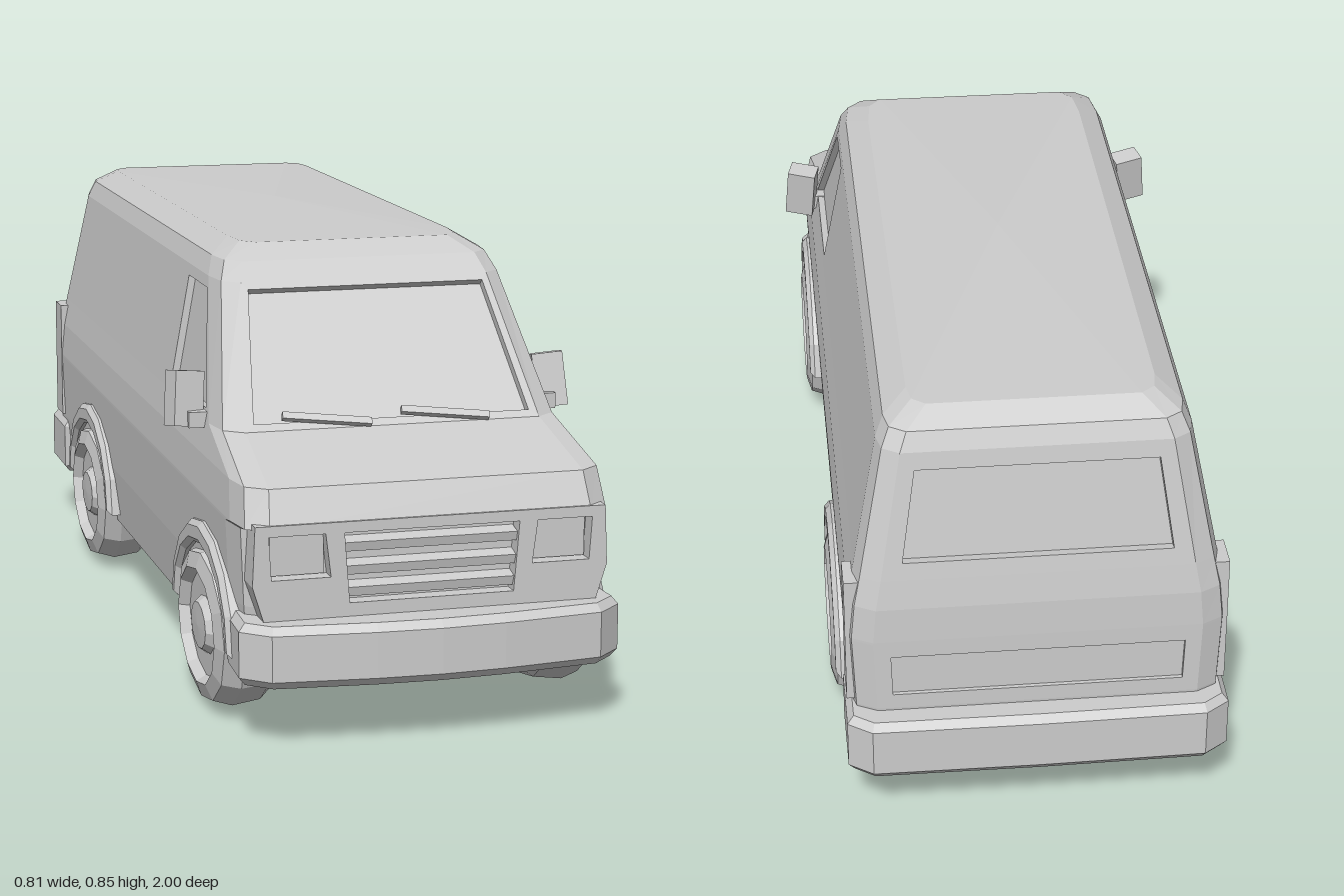
import * as THREE from 'three';

const paint = new THREE.MeshStandardMaterial({ color: 0xcccccc, flatShading: true, side: THREE.DoubleSide });
paint.name = 'plain grey';

function add(parent, name, geometry, x = 0, y = 0, z = 0) {
  const mesh = new THREE.Mesh(geometry, paint);
  mesh.name = name;
  mesh.position.set(x, y, z);
  parent.add(mesh);
  return mesh;
}

// Body shell: horizontal rings stacked upward; chosen cells are inset as windows
function bodyGeometry() {
  // y, half width, front z, back z
  const levels = [
    [0.13, 0.335, 0.89, -0.94], [0.25, 0.346, 0.9, -0.95], [0.395, 0.352, 0.9, -0.95],
    [0.4, 0.352, 0.932, -0.95], [0.47, 0.345, 0.9, -0.948], [0.528, 0.333, 0.69, -0.94],
    [0.775, 0.285, 0.49, -0.9], [0.81, 0.27, 0.455, -0.885], [0.838, 0.225, 0.4, -0.84],
  ];
  const rings = levels.map(([y, w, f, b]) => {
    const half = [[0.86 * w, f], [0.97 * w, f - 0.03], [w, f - 0.1], [w, 0.23],
      [w, -0.7], [w, b + 0.06], [0.97 * w, b + 0.02], [0.86 * w, b]];
    const mirror = half.map(([x, z]) => [-x, z]).reverse();
    return [...half, ...mirror].map(([x, z]) => new THREE.Vector3(x, y, z));
  });
  const insets = {
    '5,15': [0.016, 0.016], // windscreen
    '5,2': [0.022, 0.014], '5,12': [0.022, 0.014], // door windows
    '5,7': [0.035, 0.02], // rear window
    '1,7': [0.03, 0.008], // rear door panel
  };
  const out = [];
  const tri = (...ps) => ps.forEach((p) => out.push(p.x, p.y, p.z));
  const quad = (a, b, c, d) => { tri(a, b, c); tri(a, c, d); };
  const n = rings[0].length;
  for (let k = 0; k < rings.length - 1; k++) {
    for (let i = 0; i < n; i++) {
      const j = (i + 1) % n;
      const q = [rings[k][i], rings[k][j], rings[k + 1][j], rings[k + 1][i]];
      const inset = insets[`${k},${i}`];
      if (!inset) { quad(...q); continue; }
      const [margin, depth] = inset;
      const u = margin / q[0].distanceTo(q[1]), v = margin / q[0].distanceTo(q[3]);
      const at = (s, t) => q[0].clone().lerp(q[1], s).lerp(q[3].clone().lerp(q[2], s), t);
      const edge = [at(u, v), at(1 - u, v), at(1 - u, 1 - v), at(u, 1 - v)];
      const normal = q[1].clone().sub(q[0]).cross(q[3].clone().sub(q[0])).normalize();
      const deep = edge.map((p) => p.clone().addScaledVector(normal, -depth));
      for (let e = 0; e < 4; e++) {
        const g = (e + 1) % 4;
        quad(q[e], q[g], edge[g], edge[e]);
        quad(edge[e], edge[g], deep[g], deep[e]);
      }
      quad(...deep);
    }
  }
  // Crowned roof and flat floor
  const top = rings[rings.length - 1], floor = rings[0];
  const crown = new THREE.Vector3(0, 0.846, -0.2), under = new THREE.Vector3(0, 0.13, 0);
  for (let i = 0; i < n; i++) {
    const j = (i + 1) % n;
    tri(crown, top[i], top[j]);
    tri(under, floor[j], floor[i]);
  }
  const geo = new THREE.BufferGeometry();
  geo.setAttribute('position', new THREE.Float32BufferAttribute(out, 3));
  geo.computeVertexNormals();
  return geo;
}

function polygon(points, Type = THREE.Shape) {
  return new Type(points.map(([x, y]) => new THREE.Vector2(x, y)));
}

// Front panel with openings for the grille and headlights
function fasciaGeometry() {
  const shape = polygon([[-0.31, 0.22], [0.31, 0.22], [0.335, 0.3], [0.33, 0.41], [-0.33, 0.41], [-0.335, 0.3]]);
  shape.holes.push(polygon([[-0.155, 0.26], [-0.165, 0.39], [0.165, 0.39], [0.155, 0.26]], THREE.Path));
  for (const s of [-1, 1]) {
    shape.holes.push(polygon([[s * 0.19, 0.31], [s * 0.2, 0.39], [s * 0.305, 0.39], [s * 0.3, 0.31]], THREE.Path));
  }
  return new THREE.ExtrudeGeometry(shape, { depth: 0.06, bevelEnabled: false });
}

// Bumper: plan outline (x, z) extruded upward
function bumperGeometry(half, height) {
  const outline = [...half, ...half.map(([x, z]) => [-x, z]).reverse()].map(([x, z]) => [x, -z]);
  const geo = new THREE.ExtrudeGeometry(polygon(outline), {
    depth: height - 0.03, bevelEnabled: true, bevelThickness: 0.015, bevelSize: 0.012, bevelOffset: -0.012, bevelSegments: 1,
  });
  return geo.rotateX(-Math.PI / 2).translate(0, 0.015, 0);
}

// Wheel arch lip, a half ring extruded sideways
function archGeometry() {
  const points = [];
  const steps = 8;
  for (let i = 0; i <= steps; i++) {
    const a = Math.PI * i / steps;
    points.push([0.238 * Math.cos(a), 0.2 * Math.sin(a)]);
  }
  for (let i = steps; i >= 0; i--) {
    const a = Math.PI * i / steps;
    points.push([0.205 * Math.cos(a), 0.155 * Math.sin(a)]);
  }
  const geo = new THREE.ExtrudeGeometry(polygon(points), {
    depth: 0.04, bevelEnabled: true, bevelThickness: 0.01, bevelSize: 0.01, bevelOffset: -0.01, bevelSegments: 1,
  });
  return geo.rotateY(Math.PI / 2);
}

// Low-poly wheel, turned about the x axis; the outside faces +x
function wheelGeometry() {
  const profile = [[0, -0.06], [0.16, -0.065], [0.195, -0.035], [0.205, 0.02], [0.19, 0.055],
    [0.15, 0.065], [0.135, 0.045], [0.075, 0.045], [0.06, 0.06], [0, 0.062]];
  const geo = new THREE.LatheGeometry(profile.map(([r, h]) => new THREE.Vector2(r, h)), 12);
  return geo.rotateZ(-Math.PI / 2).scale(1, 0.15 / 0.205, 1);
}

export function createModel() {
  const van = new THREE.Group();
  van.name = 'van';
  add(van, 'body', bodyGeometry());
  add(van, 'frontFascia', fasciaGeometry(), 0, 0, 0.872);

  // Grille slats
  for (const y of [0.282, 0.322, 0.365]) {
    add(van, 'grilleSlat', new THREE.BoxGeometry(0.325, 0.018, 0.03), 0, y, 0.91).rotation.x = 0.25;
  }

  // Bumpers
  add(van, 'frontBumper', bumperGeometry([[0.355, 0.825], [0.36, 0.93], [0.31, 0.975], [0.12, 0.995], [0, 1]], 0.115), 0, 0.12, 0);
  add(van, 'rearBumper', bumperGeometry([[0, -1], [0.31, -0.997], [0.355, -0.965], [0.355, -0.815]], 0.125), 0, 0.12, 0);

  for (const s of [1, -1]) {
    const side = s > 0 ? 'left' : 'right';
    // Wheels and arches
    for (const [end, z] of [['Front', 0.63], ['Rear', -0.485]]) {
      add(van, `${side}${end}Wheel`, wheelGeometry(), s * 0.305, 0.15, z).rotation.y = s > 0 ? 0 : Math.PI;
      const arch = add(van, `${side}${end}Arch`, archGeometry(), s * 0.315, 0.15, z);
      if (s < 0) arch.rotation.y = Math.PI;
    }

    // Headlight and tail light
    add(van, `${side}Headlight`, new THREE.BoxGeometry(0.1, 0.075, 0.009), s * 0.248, 0.35, 0.905);
    add(van, `${side}TailLight`, new THREE.BoxGeometry(0.03, 0.26, 0.07), s * 0.338, 0.385, -0.885);

    // Door mirror on a short arm
    const mirror = new THREE.Group();
    mirror.name = `${side}Mirror`;
    mirror.position.set(s * 0.365, 0.565, 0.525);
    const housing = add(mirror, 'mirrorHousing', new THREE.BoxGeometry(0.06, 0.105, 0.045));
    housing.rotation.set(-0.15, -s * 0.25, s * 0.08);
    add(mirror, 'mirrorArm', new THREE.BoxGeometry(0.07, 0.03, 0.04), -s * 0.035, -0.035, 0.02);
    van.add(mirror);
  }

  // Wipers lying along the foot of the windscreen
  for (const x of [-0.13, 0.1]) {
    const wiper = add(van, 'wiper', new THREE.BoxGeometry(0.17, 0.014, 0.012), x, 0.545, 0.687);
    wiper.rotation.set(-0.7, 0, -0.13);
  }
  return van;
}
